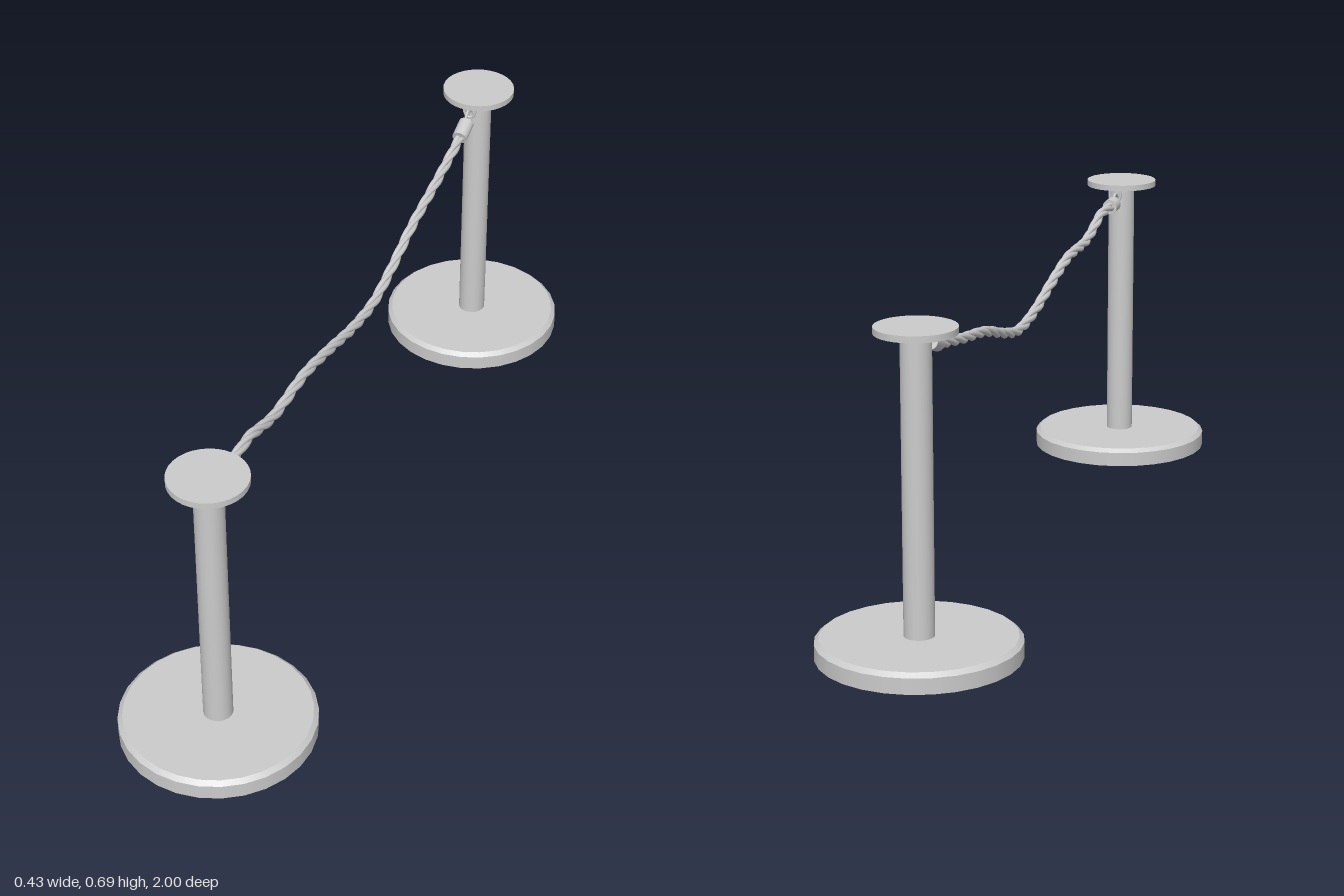
import * as THREE from 'three';

const material = new THREE.MeshStandardMaterial({ color: 0xcccccc });

function add(parent, name, geometry, x = 0, y = 0, z = 0) {
  const mesh = new THREE.Mesh(geometry, material);
  mesh.name = name;
  mesh.position.set(x, y, z);
  parent.add(mesh);
  return mesh;
}

// Upright drum between two heights
function drum(parent, name, rTop, rBottom, y0, y1, sides) {
  return add(parent, name, new THREE.CylinderGeometry(rTop, rBottom, y1 - y0, sides), 0, (y0 + y1) / 2, 0);
}

// One strand wound helically around a centre line lying in the yz plane
class StrandCurve extends THREE.Curve {
  constructor(path, phase, offset, turns) {
    super();
    Object.assign(this, { path, phase, offset, turns });
  }
  getPoint(t, target = new THREE.Vector3()) {
    const p = this.path.getPointAt(t);
    const d = this.path.getTangentAt(t);
    const a = this.phase + t * this.turns * Math.PI * 2;
    const s = Math.sin(a) * this.offset;
    return target.set(p.x + Math.cos(a) * this.offset, p.y + d.z * s, p.z - d.y * s);
  }
}

// Post with weighted base, cap and a hanging eye on the side facing the rope
function makePost(side) {
  const post = new THREE.Group();
  post.name = side > 0 ? 'frontPost' : 'backPost';
  post.position.z = side * 0.787;
  drum(post, 'base', 0.213, 0.213, 0, 0.034, 28);
  drum(post, 'baseBevel', 0.203, 0.213, 0.034, 0.043, 28);
  drum(post, 'pole', 0.032, 0.032, 0.04, 0.675, 24);
  drum(post, 'cap', 0.085, 0.085, 0.672, 0.686, 32);

  // U-shaped eye fixed under the cap
  const eye = new THREE.CatmullRomCurve3([
    [-0.014, 0.674], [-0.014, 0.655], [-0.009, 0.643], [0, 0.639],
    [0.009, 0.643], [0.014, 0.655], [0.014, 0.674],
  ].map(([x, y]) => new THREE.Vector3(x, y, 0)));
  add(post, 'eye', new THREE.TubeGeometry(eye, 24, 0.003, 8), 0, 0, -side * 0.062);
  return post;
}

export function createModel() {
  const model = new THREE.Group();
  model.add(makePost(1), makePost(-1));

  // Sagging centre line of the rope, as z, y pairs
  const path = new THREE.CatmullRomCurve3([
    [0.685, 0.637], [0.585, 0.634], [0.516, 0.612], [0.452, 0.597], [0.302, 0.591], [0.168, 0.562],
    [0.024, 0.525], [-0.104, 0.511], [-0.206, 0.53], [-0.34, 0.566], [-0.5, 0.59], [-0.665, 0.619],
  ].map(([z, y]) => new THREE.Vector3(0, y, z)));
  path.arcLengthDivisions = 600;

  // Twisted rope of three strands
  const rope = new THREE.Group();
  rope.name = 'rope';
  model.add(rope);
  for (let i = 0; i < 3; i++) {
    const strand = new StrandCurve(path, (i * Math.PI * 2) / 3, 0.006, 8);
    add(rope, 'strand' + (i + 1), new THREE.TubeGeometry(strand, 200, 0.0062, 8));
  }

  // Ferrule and ring at each rope end
  const up = new THREE.Vector3(0, 1, 0);
  for (const [name, inner, outer] of [
    ['front', [0.674, 0.637], [0.712, 0.638]],
    ['back', [-0.657, 0.62], [-0.704, 0.635]],
  ]) {
    const a = new THREE.Vector3(0, inner[1], inner[0]);
    const b = new THREE.Vector3(0, outer[1], outer[0]);
    const axis = b.clone().sub(a);
    const mid = a.clone().add(b).multiplyScalar(0.5);
    const ferrule = add(model, name + 'Ferrule', new THREE.CylinderGeometry(0.018, 0.018, axis.length(), 20), 0, mid.y, mid.z);
    ferrule.quaternion.setFromUnitVectors(up, axis.normalize());
    const ring = add(model, name + 'Ring', new THREE.TorusGeometry(0.019, 0.0035, 8, 28),
      0, name === 'front' ? 0.64 : 0.644, name === 'front' ? 0.728 : -0.718);
    ring.rotation.y = Math.PI / 2;
  }
  return model;
}
